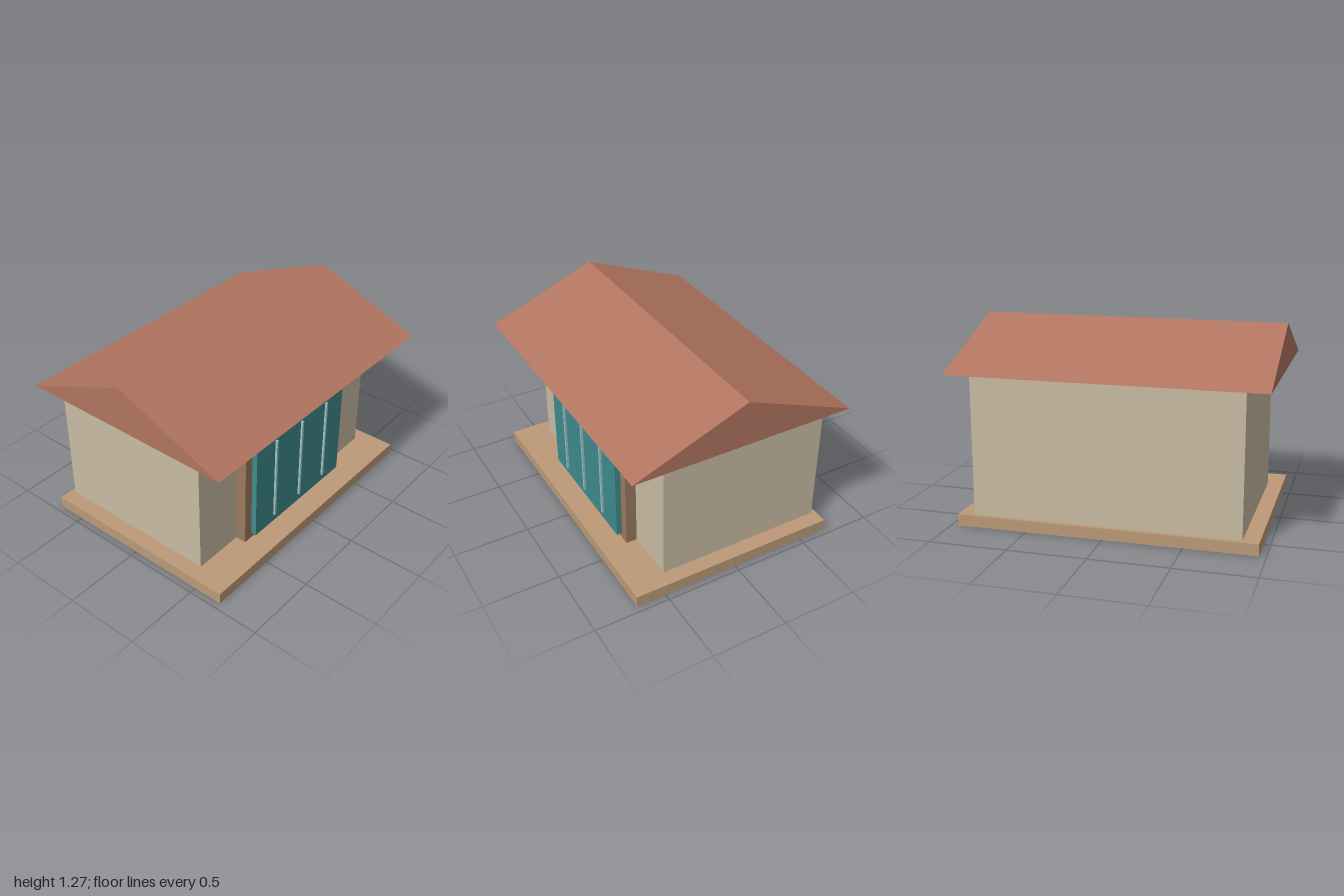
import * as THREE from 'three';

const material = (color) => new THREE.MeshStandardMaterial({ color });

// Box given by its lower and upper limits on each axis
function box(name, [x0, x1], [y0, y1], [z0, z1], mat) {
  const mesh = new THREE.Mesh(new THREE.BoxGeometry(x1 - x0, y1 - y0, z1 - z0), mat);
  mesh.position.set((x0 + x1) / 2, (y0 + y1) / 2, (z0 + z1) / 2);
  mesh.name = name;
  return mesh;
}

export function createModel() {
  const model = new THREE.Group();
  model.name = 'house';

  // Base slab and walls
  model.add(box('base', [-0.955, 0.955], [0, 0.075], [-0.695, 0.697], material(0xbc9a78)));
  model.add(box('walls', [-0.853, 0.853], [0.075, 0.98], [-0.665, 0.458], material(0xc9bca4)));

  // Solid gable roof: triangle extruded along x
  const gable = new THREE.Shape();
  gable.moveTo(-0.737, 0.978);
  gable.lineTo(0.737, 0.978);
  gable.lineTo(0, 1.272);
  gable.closePath();
  const roofGeometry = new THREE.ExtrudeGeometry(gable, { depth: 2, bevelEnabled: false });
  roofGeometry.translate(0, 0, -1).rotateY(Math.PI / 2);
  const roof = new THREE.Mesh(roofGeometry, material(0xb27560));
  roof.name = 'roof';
  model.add(roof);

  // Doorway with surround, door panel and three vertical bars
  const doorway = new THREE.Group();
  doorway.name = 'doorway';
  doorway.add(box('doorSurround', [-0.51, 0.51], [0.075, 0.902], [0.458, 0.53], material(0x9b7b60)));
  doorway.add(box('doorPanel', [-0.448, 0.448], [0.111, 0.827], [0.53, 0.566], material(0x3f8b8d)));
  const barMaterial = material(0x9cc4c4);
  for (const x of [-0.262, 0, 0.262]) {
    doorway.add(box('doorBar', [x - 0.007, x + 0.007], [0.166, 0.754], [0.566, 0.58], barMaterial));
  }
  model.add(doorway);

  return model;
}
